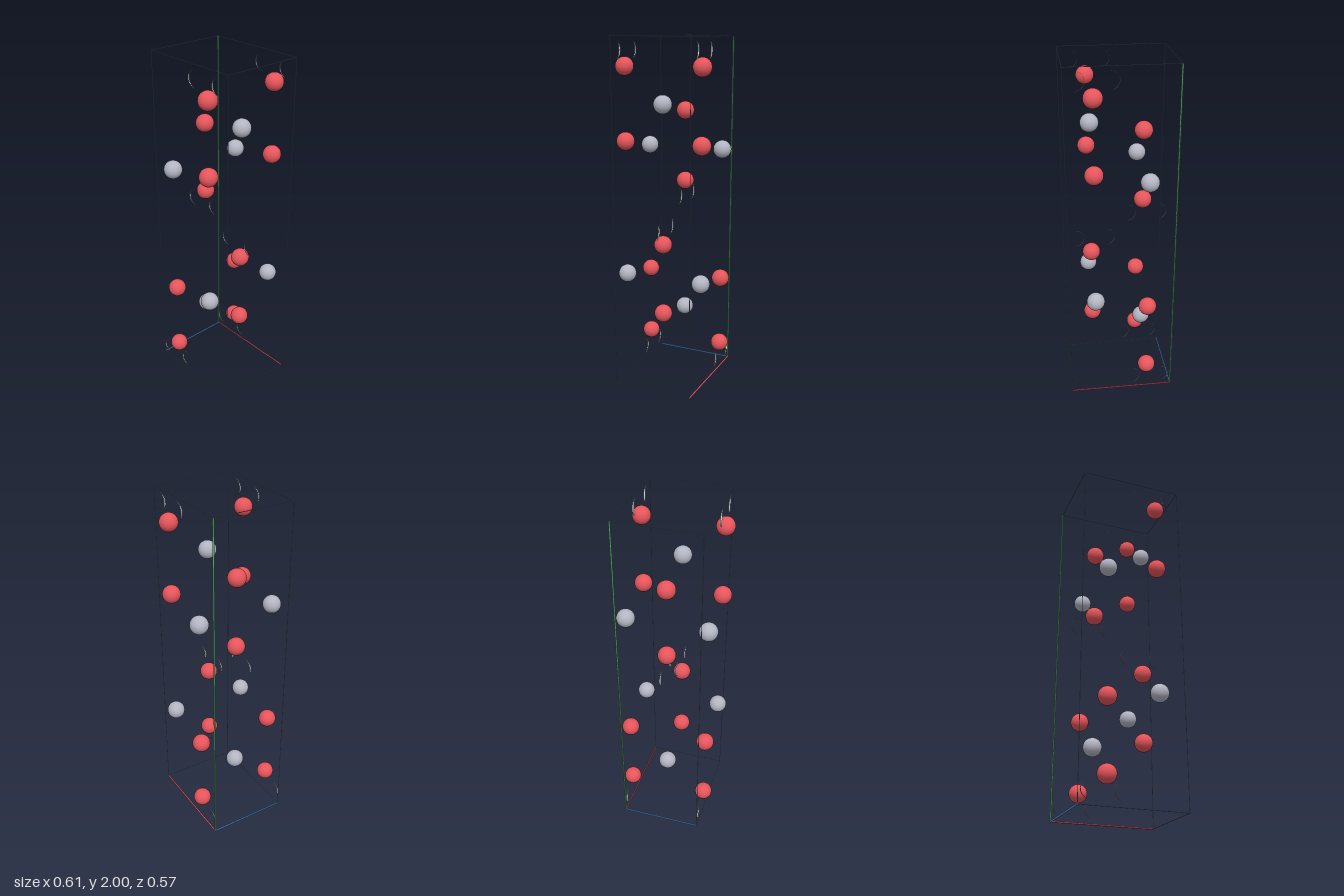
import * as THREE from 'three';

const mat = (name, color, side = THREE.FrontSide) => {
  const m = new THREE.MeshStandardMaterial({ color, side });
  m.name = name;
  return m;
};

export function createModel() {
  const model = new THREE.Group();
  model.name = 'crystalCell';

  const red = mat('red atom', 0xe6555b);
  const grey = mat('grey atom', 0xb3b5c3);
  const frame = mat('slate frame', 0x668390);
  const axisRed = mat('axis red', 0xd9566a);
  const axisGreen = mat('axis green', 0x58b070);
  const axisBlue = mat('axis blue', 0x5f9be6);
  const pale = mat('pale lobe', 0xcfcfcf, THREE.DoubleSide);

  const X = 0.302, Z = 0.234, Y0 = 0.005, Y1 = 1.998;
  const COLUMN = 0.151;

  // Thin rod between two points
  const rod = (name, a, b, radius, material) => {
    const from = new THREE.Vector3(...a), to = new THREE.Vector3(...b);
    const dir = to.clone().sub(from);
    const mesh = new THREE.Mesh(new THREE.CylinderGeometry(radius, radius, dir.length(), 16), material);
    mesh.name = name;
    mesh.position.copy(from).add(to).multiplyScalar(0.5);
    mesh.quaternion.setFromUnitVectors(new THREE.Vector3(0, 1, 0), dir.normalize());
    model.add(mesh);
  };

  // Three coloured axes meeting in the back corner
  const origin = [-X, Y0, -Z];
  rod('axisX', origin, [X, Y0, -Z], 0.005, axisRed);
  rod('axisY', origin, [-X, Y1, -Z], 0.005, axisGreen);
  rod('axisZ', origin, [-X, Y0, Z], 0.005, axisBlue);

  // Remaining nine cell edges
  const edge = (a, b) => rod('cellEdge', a, b, 0.0018, frame);
  for (const [y, z] of [[Y0, Z], [Y1, -Z], [Y1, Z]]) edge([-X, y, z], [X, y, z]);
  for (const [x, z] of [[X, -Z], [-X, Z], [X, Z]]) edge([x, Y0, z], [x, Y1, z]);
  for (const [x, y] of [[X, Y0], [-X, Y1], [X, Y1]]) edge([x, y, -Z], [x, y, Z]);

  // Atoms: material, column side, y, and whether they sit on the outer faces or mid-depth
  const ball = new THREE.SphereGeometry(0.052, 32, 20);
  const depths = (outer) => (outer ? [-Z, Z] : [0]);
  const atoms = [
    [red, -1, 1.58, false], [grey, -1, 1.365, true], [red, -1, 1.164, false],
    [red, -1, 0.583, true], [grey, -1, 0.369, false], [red, -1, 0.168, true],
    [red, 1, 1.837, true], [grey, 1, 1.635, false], [red, 1, 1.421, true],
    [red, 1, 0.841, false], [grey, 1, 0.639, true], [red, 1, 0.426, false],
  ];
  for (const [material, column, y, outer] of atoms) {
    for (const z of depths(outer)) {
      const atom = new THREE.Mesh(ball, material);
      atom.name = material === red ? 'redAtom' : 'greyAtom';
      atom.position.set(column * COLUMN, y, z);
      model.add(atom);
    }
  }

  // Narrow crescent slivers, in pairs beside the end atoms
  const sliver = new THREE.SphereGeometry(0.05, 4, 16, 0, 0.2);
  for (const [column, y, outer] of [[-1, 1.08, false], [-1, 0.084, true], [1, 0.93, false], [1, 1.926, true]]) {
    for (const z of depths(outer)) {
      for (const side of [-1, 1]) {
        const lobe = new THREE.Mesh(sliver, pale);
        lobe.name = 'crescentLobe';
        lobe.position.set(column * COLUMN + side * 0.09, y, z);
        model.add(lobe);
      }
    }
  }
  return model;
}
